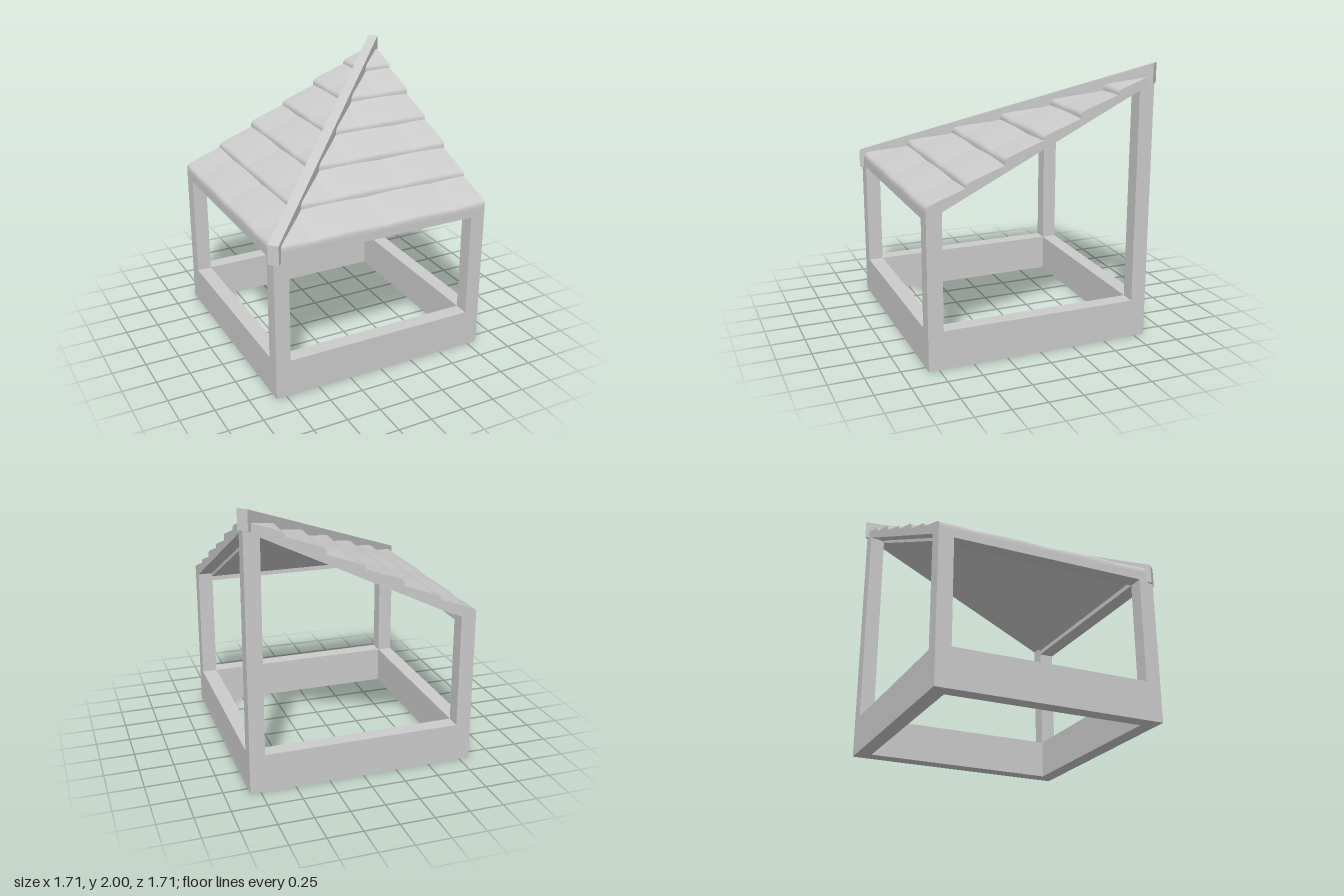
import * as THREE from 'three';
import { toCreasedNormals } from 'three/addons/utils/BufferGeometryUtils.js';

const HALF = 0.825, INNER = 0.715, SILL = 0.28, EAVE = 1.11, SLOPE = 0.49, ROW = 0.275;
const material = new THREE.MeshStandardMaterial({ color: 0xcccccc });
const roofY = (z) => EAVE + SLOPE * (HALF - z);

// Plain triangles without slivers; `mirror` reflects across the hip line
function finish(geometry, mirror, crease = 0.6) {
  const source = geometry.index ? geometry.toNonIndexed() : geometry;
  const p = source.attributes.position;
  const out = [];
  const tri = new THREE.Triangle();
  for (let i = 0; i < p.count; i += 3) {
    tri.setFromAttributeAndIndices(p, i, i + 1, i + 2);
    if (tri.getArea() < 1e-8) continue;
    const corners = mirror ? [tri.a, tri.c, tri.b] : [tri.a, tri.b, tri.c];
    for (const v of corners) out.push(...(mirror ? [-v.z, v.y, -v.x] : [v.x, v.y, v.z]));
  }
  const result = new THREE.BufferGeometry();
  result.setAttribute('position', new THREE.Float32BufferAttribute(out, 3));
  return toCreasedNormals(result, crease);
}

function polygon(points) {
  return new THREE.Shape(points.map(([x, y]) => new THREE.Vector2(x, y)));
}

// Wall panel with one opening, drawn in (horizontal, y)
function panel(outer, hole) {
  const shape = polygon(outer);
  shape.holes.push(polygon(hole));
  return new THREE.ExtrudeGeometry(shape, { depth: HALF - INNER, bevelEnabled: false });
}

// Low wall under the eave
function eaveWall() {
  return panel(
    [[-HALF, 0], [HALF, 0], [HALF, EAVE], [-HALF, EAVE]],
    [[-INNER, SILL], [-INNER, 1.055], [INNER, 1.055], [INNER, SILL]]
  ).translate(0, 0, INNER);
}

// Wall whose top follows the slope; local horizontal is -z
function gableWall() {
  const top = (s) => roofY(-s);
  const geometry = panel(
    [[-HALF, 0], [HALF, 0], [HALF, top(HALF)], [-HALF, top(-HALF)]],
    [[-INNER, SILL], [-INNER, top(-INNER) - 0.05], [INNER, top(INNER) - 0.05], [INNER, SILL]]
  );
  geometry.rotateY(Math.PI / 2).translate(INNER, 0, 0);
  // Keep the tall post below both roof slopes
  const p = geometry.attributes.position;
  for (let i = 0; i < p.count; i++) p.setY(i, Math.min(p.getY(i), roofY(-p.getX(i))));
  return geometry;
}

// Thin triangular board under the tiles
function deck() {
  const e = INNER + 0.005;
  const shape = polygon([[-e, -e], [e, -e], [e, e]]);
  const geometry = new THREE.ExtrudeGeometry(shape, { depth: 0.055, bevelEnabled: false });
  geometry.rotateX(-Math.PI / 2);
  const p = geometry.attributes.position;
  for (let i = 0; i < p.count; i++) p.setY(i, p.getY(i) + roofY(p.getZ(i)) - 0.075);
  return geometry;
}

// One tile: rounded nose, slight crown, cut off along the hip
function tile(x0, z0) {
  const profile = [[0, 0], [0, 0.022], [0.005, 0.031], [0.014, 0.036], [0.025, 0.037],
    [0.09, 0.029], [0.15, 0.021], [0.21, 0.013], [ROW, 0.004]];
  const n = 10, width = 0.55;
  const right = Math.min(x0 + width, HALF);
  const pos = [], index = [];
  profile.forEach(([d, h], i) => {
    const z = z0 - d;
    const left = Math.min(Math.max(x0, -z), right);
    for (let j = -1; j <= n + 1; j++) {
      const x = left + (right - left) * Math.min(Math.max(j / n, 0), 1);
      const t = ((x - x0) / width) * 2 - 1;
      const side = j < 0 || j > n;
      const lift = side || i === 0 ? 0 : h + 0.008 * (1 - t * t);
      pos.push(x, roofY(z) + lift, z);
    }
  });
  const cols = n + 3;
  for (let i = 0; i < profile.length - 1; i++) {
    for (let j = 0; j < cols - 1; j++) {
      const a = i * cols + j, d = a + cols;
      index.push(a, a + 1, d + 1, a, d + 1, d);
    }
  }
  const geometry = new THREE.BufferGeometry();
  geometry.setAttribute('position', new THREE.Float32BufferAttribute(pos, 3));
  geometry.setIndex(index);
  return geometry;
}

// Sloping cap along the hip with upright ends
function hipCap() {
  const run = HALF * Math.SQRT2, w = 0.078;
  const shape = polygon([[-run, 1.035], [run, 1.858], [run, 2.0], [-run, 1.177]]);
  return new THREE.ExtrudeGeometry(shape, { depth: w, bevelEnabled: false })
    .translate(0, 0, -w / 2).rotateY(Math.PI / 4);
}

export function createModel() {
  const model = new THREE.Group();
  model.name = 'cornerRoofHouse';
  const add = (parent, name, geometry, mirror, crease) => {
    const mesh = new THREE.Mesh(finish(geometry, mirror, crease), material);
    mesh.name = name;
    parent.add(mesh);
  };

  // Each half of the building is the other reflected across the hip
  for (const mirror of [false, true]) {
    add(model, mirror ? 'rightEaveWall' : 'frontEaveWall', eaveWall(), mirror, 0.2);
    add(model, mirror ? 'backGableWall' : 'leftGableWall', gableWall(), mirror, 0.2);
    add(model, mirror ? 'sideRoofDeck' : 'frontRoofDeck', deck(), mirror, 0.2);

    const tiles = new THREE.Group();
    tiles.name = mirror ? 'sideRoofTiles' : 'frontRoofTiles';
    for (let row = 0; row < 6; row++) {
      const z0 = HALF - row * ROW;
      const start = row % 2 ? -HALF : -1.1;
      for (let x0 = start; x0 < HALF - 0.01; x0 += 0.55) {
        if (x0 + 0.55 > -z0 + 0.01) add(tiles, 'roofTile', tile(x0, z0), mirror, 0.75);
      }
    }
    model.add(tiles);
  }
  add(model, 'hipCap', hipCap(), false, 0.2);
  return model;
}
